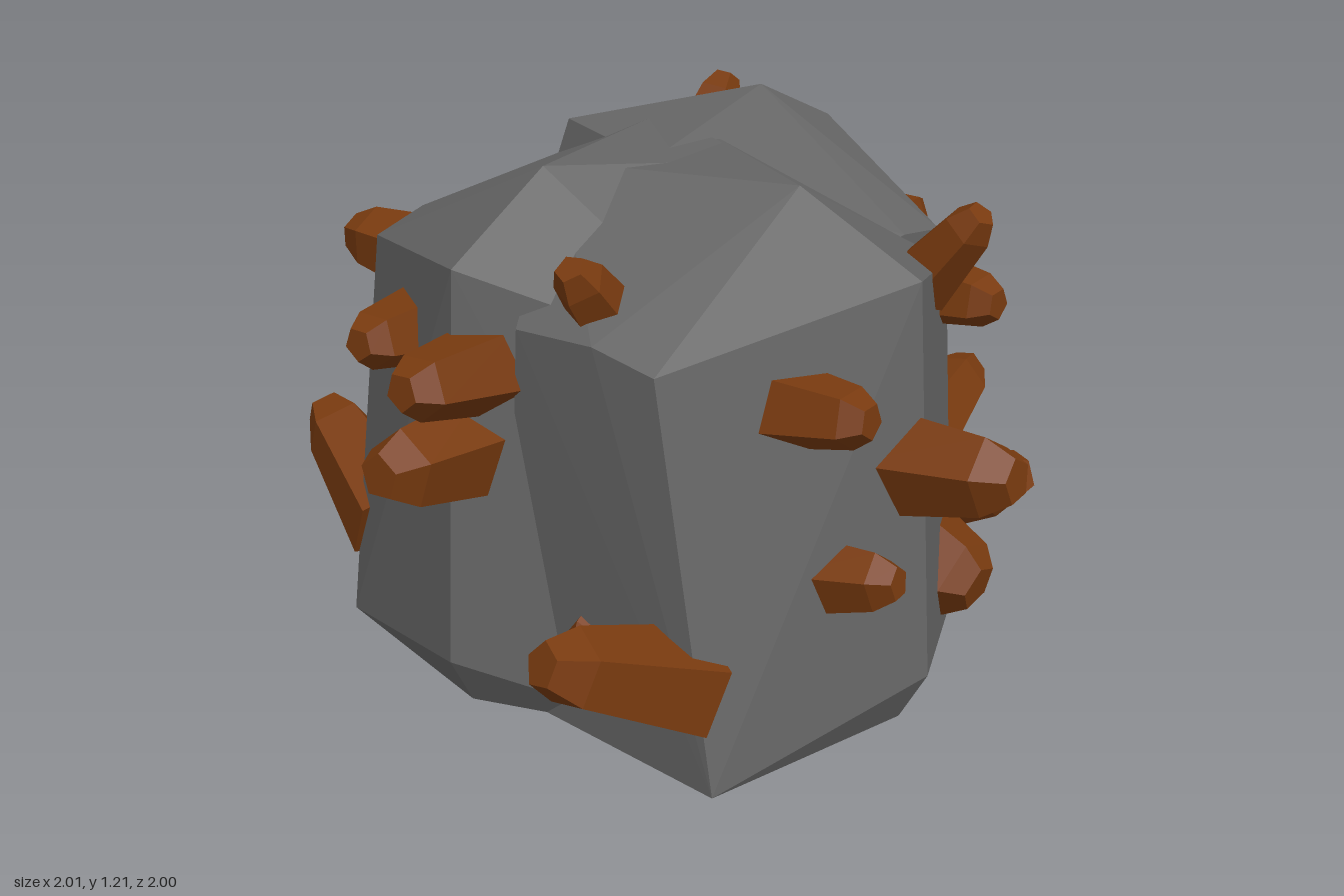
import * as THREE from 'three';
import { ConvexGeometry } from 'three/addons/geometries/ConvexGeometry.js';

const rockMaterial = new THREE.MeshStandardMaterial({ color: 0x666666, flatShading: true });
const crystalMaterial = new THREE.MeshStandardMaterial({ color: 0x783a0f, flatShading: true });

// Boulder footprint in order; the front ridge stands at x = 0, z = 0
const footprint = [
  [0, 0, -0.07], [-0.52, 0, -0.22], [-0.45, 0, -0.85], [0.51, 0, -1.1], [0.53, 0, -0.24],
];
const hollowTop = [0.1, 0.1, -0.65];

const rockCorners = [
  ...footprint,
  // front ridge and crown
  [0, 0.13, 0], [0, 1.06, -0.06], [0, 1.21, -0.37],
  // one side
  [-0.52, 0.94, -0.37], [-0.52, 0.97, -0.53],
  // other side
  [0.62, 0.86, -0.35], [0.69, 0.22, -0.59],
  // back
  [0.28, 1.17, -0.78], [-0.1, 1.18, -0.95], [-0.5, 0.95, -0.75],
];

// Crystals every boulder carries: base, tip, radius
const sharedCrystals = [
  [[-0.25, 0.82, -0.25], [-0.25, 0.84, -0.02], 0.1],
  [[0, 0.63, -0.15], [0, 0.67, 0.19], 0.13],
  [[0.3, 0.92, -0.25], [0.3, 1.12, -0.09], 0.085],
  [[0.34, 0.25, -0.3], [0.33, 0.19, -0.06], 0.15],
  [[-0.46, 0.22, -0.32], [-0.81, 0.39, -0.44], 0.13],
];

// Single crystals on the finished cluster
const extraCrystals = [
  [[0.3, 0.84, 0.45], [0.28, 0.85, 0.68], 0.095],
  [[-0.38, 0.41, 0.58], [-0.36, 0.45, 0.82], 0.095],
  [[0.42, 0.38, 0.39], [0.73, 0.47, 0.37], 0.11],
  [[0.42, 0.37, -0.6], [0.39, 0.47, -0.99], 0.115],
  [[-0.24, 0.84, -0.55], [-0.27, 0.87, -0.83], 0.11],
  [[-0.65, 0.83, -0.05], [-0.92, 0.86, -0.06], 0.11],
];

// Convex boulder whose flat base is replaced by a shallow hollow
function makeRockGeometry() {
  const hull = new ConvexGeometry(rockCorners.map((p) => new THREE.Vector3(...p)));
  const source = hull.attributes.position.array;
  const points = [];
  for (let i = 0; i < source.length; i += 9) {
    const face = source.slice(i, i + 9);
    if (Math.max(face[1], face[4], face[7]) > 0.01) points.push(...face);
  }
  footprint.forEach((corner, i) => {
    points.push(...corner, ...footprint[(i + 1) % footprint.length], ...hollowTop);
  });
  const geometry = new THREE.BufferGeometry();
  geometry.setAttribute('position', new THREE.Float32BufferAttribute(points, 3));
  geometry.computeVertexNormals();
  return geometry;
}

// Tapered five-sided crystal with a bevelled blunt tip
function crystal([base, tip, radius], index) {
  const from = new THREE.Vector3(...base);
  const axis = new THREE.Vector3(...tip).sub(from);
  const length = axis.length();
  const profile = [[0, 0], [1, 0], [0.7, 0.8], [0.4, 1], [0, 1]]
    .map(([r, h]) => new THREE.Vector2(r * radius, h * length));
  const mesh = new THREE.Mesh(new THREE.LatheGeometry(profile, 5, index * 0.7), crystalMaterial);
  mesh.position.copy(from);
  mesh.quaternion.setFromUnitVectors(new THREE.Vector3(0, 1, 0), axis.normalize());
  mesh.name = 'crystal';
  return mesh;
}

export function createModel() {
  const model = new THREE.Group();
  model.name = 'crystalRockCluster';
  const rockGeometry = makeRockGeometry();

  // Three boulders turned a quarter apart and pushed together
  [
    ['frontBoulder', -0.18, 0.8, 0],
    ['leftBoulder', 0.8, -0.09, Math.PI / 2],
    ['rightBoulder', -0.77, -0.1, -Math.PI / 2],
  ].forEach(([name, x, z, turn]) => {
    const boulder = new THREE.Group();
    boulder.name = name;
    const rock = new THREE.Mesh(rockGeometry, rockMaterial);
    rock.name = 'rock';
    boulder.add(rock, ...sharedCrystals.map(crystal));
    boulder.position.set(x, 0, z);
    boulder.rotation.y = turn;
    model.add(boulder);
  });

  const extras = new THREE.Group();
  extras.name = 'looseCrystals';
  extras.add(...extraCrystals.map(crystal));
  model.add(extras);
  return model;
}
